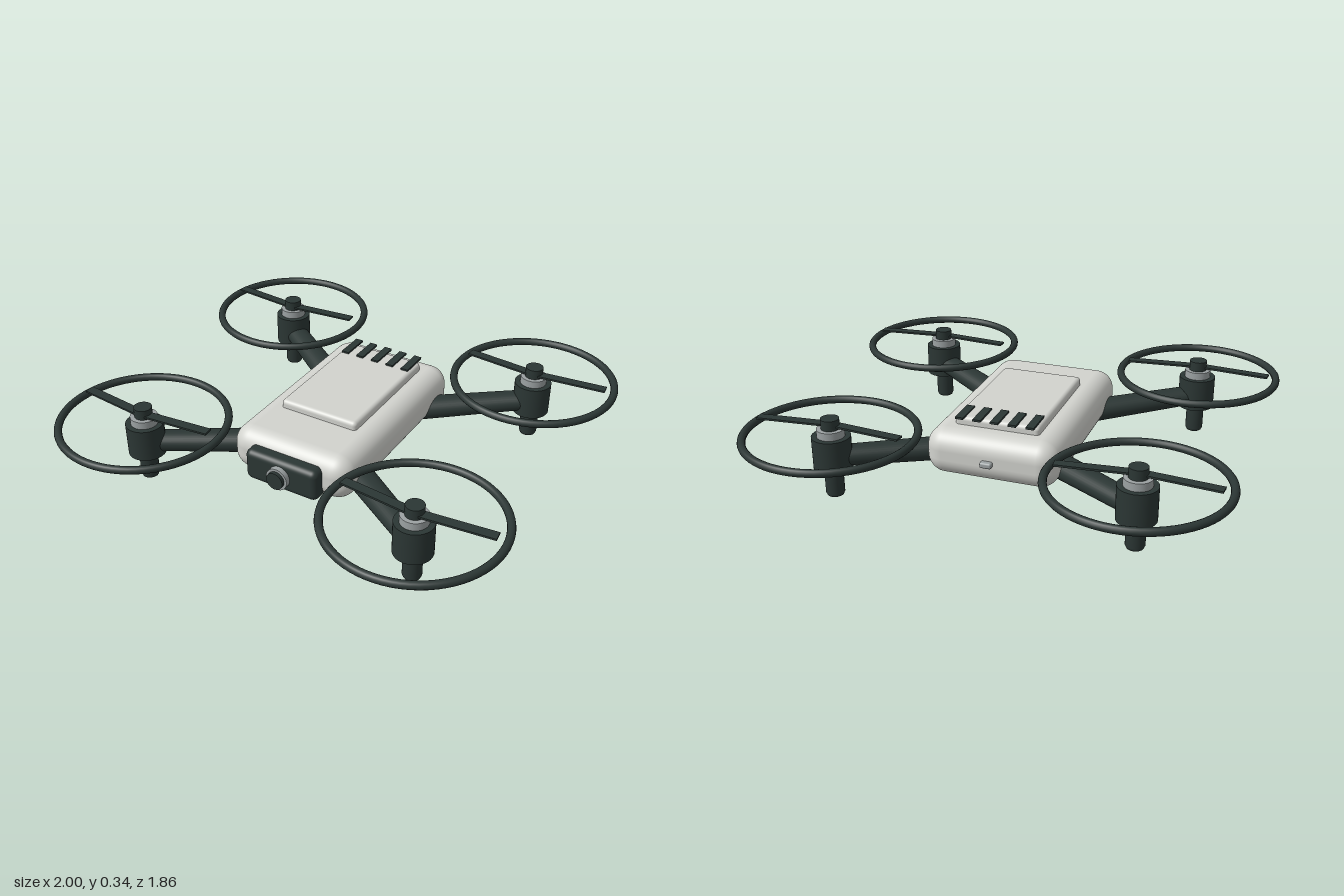
import * as THREE from 'three';
import { RoundedBoxGeometry } from 'three/addons/geometries/RoundedBoxGeometry.js';

const mat = (name, color) => {
  const m = new THREE.MeshStandardMaterial({ color });
  m.name = name;
  return m;
};

export function createModel() {
  const shell = mat('shell light grey', 0xd2d3ce);
  const dark = mat('dark green grey', 0x2b3634);
  const metal = mat('metal grey', 0x9ca2a3);

  const model = new THREE.Group();
  model.name = 'quadcopter';

  const add = (parent, name, geometry, material, x = 0, y = 0, z = 0) => {
    const mesh = new THREE.Mesh(geometry, material);
    mesh.name = name;
    mesh.position.set(x, y, z);
    parent.add(mesh);
    return mesh;
  };
  const rounded = (w, h, d, r) => new RoundedBoxGeometry(w, h, d, 6, r);
  const disc = (r, h) => new THREE.CylinderGeometry(r, r, h, 40);

  // Body shell, battery cover and cooling vents
  add(model, 'body', rounded(0.56, 0.198, 0.925, 0.08), shell, 0, 0.203, -0.003);
  add(model, 'batteryCover', rounded(0.36, 0.06, 0.575, 0.018), shell, 0, 0.307, -0.07);
  for (let i = -2; i <= 2; i++) {
    add(model, 'vent', new THREE.BoxGeometry(0.034, 0.009, 0.13), dark, i * 0.075, 0.34, -0.32);
  }

  // Camera at the front, port at the back
  add(model, 'cameraPanel', rounded(0.34, 0.14, 0.085, 0.028), dark, 0, 0.19, 0.465);
  add(model, 'lensRing', disc(0.049, 0.05).rotateX(Math.PI / 2), metal, 0, 0.19, 0.505);
  add(model, 'lens', disc(0.038, 0.05).rotateX(Math.PI / 2), dark, 0, 0.19, 0.52);
  add(model, 'rearPort', rounded(0.05, 0.024, 0.03, 0.008), metal, 0, 0.2, -0.475);

  // Shared rotor geometries
  const legProfile = [[0, 0], [0.024, 0], [0.034, 0.006], [0.039, 0.018], [0.039, 0.14]]
    .map(([r, y]) => new THREE.Vector2(r, y));
  const leg = new THREE.LatheGeometry(legProfile, 32);
  const ring = new THREE.TorusGeometry(0.35, 0.0165, 14, 72).rotateX(Math.PI / 2);
  const housing = disc(0.08, 0.142);
  const motorCap = disc(0.057, 0.04);
  const hub = disc(0.038, 0.045);
  const blade = new THREE.BoxGeometry(0.32, 0.008, 0.042);

  for (const sx of [-1, 1]) {
    for (const sz of [-1, 1]) {
      // Arm, wider at the body and flattened in height
      const inner = new THREE.Vector3(sx * 0.18, 0.153, sz * 0.25);
      const outer = new THREE.Vector3(sx * 0.633, 0.178, sz * 0.565);
      const armShape = new THREE.CylinderGeometry(0.052, 0.062, inner.distanceTo(outer), 32)
        .rotateX(Math.PI / 2).scale(1, 0.8, 1);
      const mid = inner.clone().lerp(outer, 0.5);
      add(model, 'arm', armShape, dark, mid.x, mid.y, mid.z).lookAt(outer);

      // Motor, landing leg, guard ring and propeller
      const rotor = new THREE.Group();
      rotor.name = 'rotor';
      rotor.position.set(sx * 0.633, 0, sz * 0.565);
      model.add(rotor);
      add(rotor, 'landingLeg', leg, dark);
      add(rotor, 'motorHousing', housing, dark, 0, 0.198);
      add(rotor, 'motorCap', motorCap, metal, 0, 0.282);
      add(rotor, 'propellerHub', hub, dark, 0, 0.3225);
      add(rotor, 'guardRing', ring, dark, 0, 0.277);
      for (const side of [-1, 1]) {
        add(rotor, 'propellerBlade', blade, dark, side * 0.158, 0.315, -0.007).rotation.y = side * 0.1;
      }
    }
  }
  return model;
}
